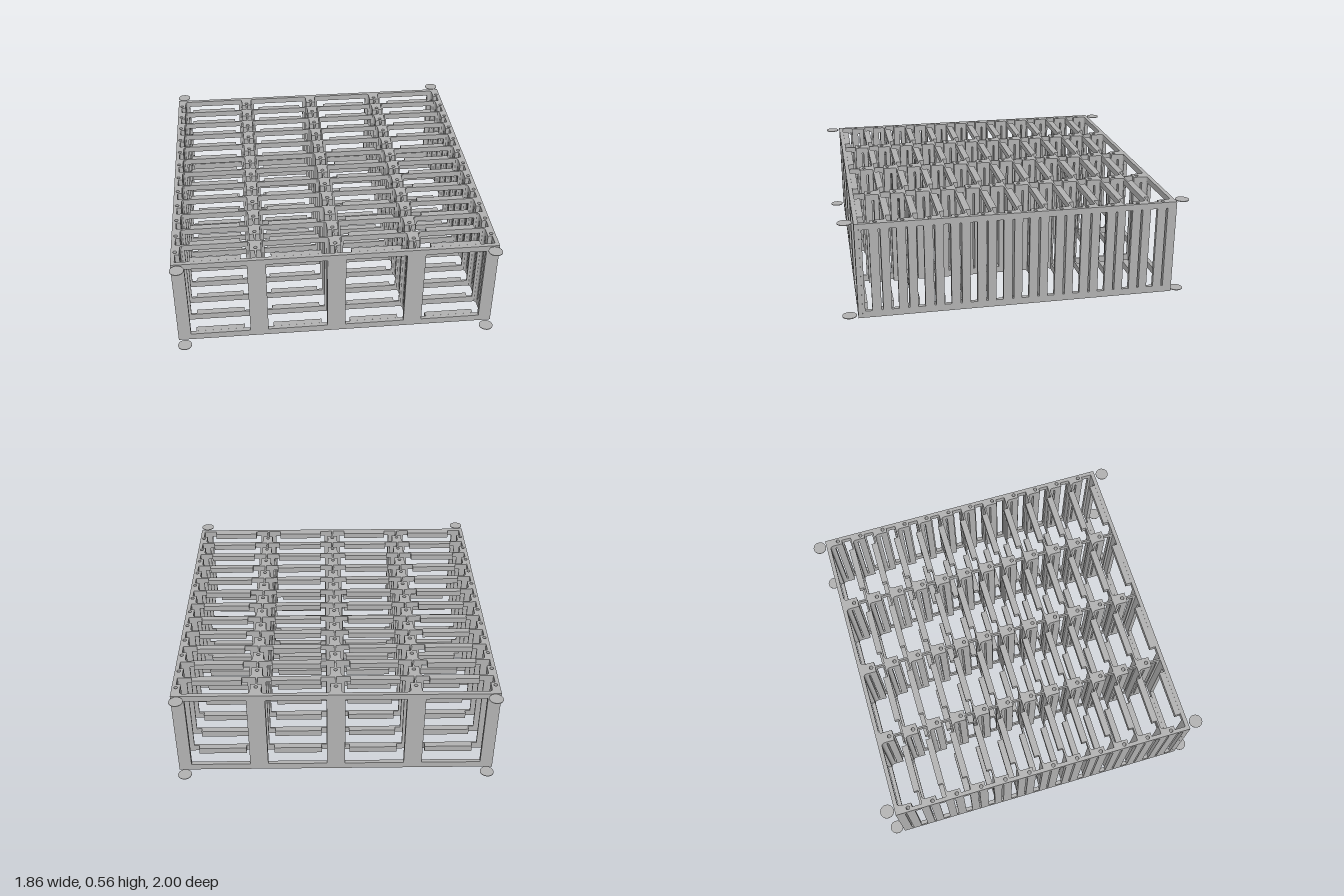
import * as THREE from 'three';

const H = 0.563, LOW = 0.04, HIGH = 0.527;   // full height, window bottom and top
const HALF = 0.925, ROWS = 12, PITCH = 0.1487, Z0 = -0.838;
const COLUMNS = [-0.902, -0.452, 0, 0.452, 0.902];
const CELLS = [-0.678, -0.226, 0.226, 0.678];
const BANDS = [[0, LOW], [HIGH, H]];         // bottom and top rail levels

export function createModel() {
  const model = new THREE.Group();
  const grey = new THREE.MeshStandardMaterial({ color: 0xb3b3b3 });
  grey.name = 'light grey';

  const add = (parent, name, geometry, x = 0, y = 0, z = 0) => {
    const mesh = new THREE.Mesh(geometry, grey);
    mesh.name = name;
    mesh.position.set(x, y, z);
    parent.add(mesh);
  };
  const box = (parent, name, x0, x1, y0, y1, z0, z1) =>
    add(parent, name, new THREE.BoxGeometry(x1 - x0, y1 - y0, z1 - z0),
      (x0 + x1) / 2, (y0 + y1) / 2, (z0 + z1) / 2);

  // Upright wall with four windows
  const wallGeometry = (depth) => {
    const s = new THREE.Shape();
    s.moveTo(-HALF, 0).lineTo(HALF, 0).lineTo(HALF, H).lineTo(-HALF, H).closePath();
    for (const c of CELLS) {
      const w = new THREE.Path();
      w.moveTo(c - 0.173, LOW).lineTo(c - 0.173, HIGH).lineTo(c + 0.173, HIGH).lineTo(c + 0.173, LOW).closePath();
      s.holes.push(w);
    }
    return new THREE.ExtrudeGeometry(s, { depth, bevelEnabled: false });
  };

  // Plan shape (x, z) raised from y0 to y1
  const raise = (shape, y0, y1) => {
    const g = new THREE.ExtrudeGeometry(shape, { depth: y1 - y0, bevelEnabled: false, curveSegments: 6 });
    return g.rotateX(Math.PI / 2).translate(0, y1, 0);
  };
  // Post outline from z0 to z1; flares widen it in a fillet where it meets the wall
  const postShape = (c, z0, z1, flared, bored) => {
    const s = new THREE.Shape();
    const fl = flared ? c.fl : 0, fr = flared ? c.fr : 0, zf = z0 + 0.022;
    s.moveTo(c.l, z1);
    s.lineTo(c.l, zf);
    if (fl) s.quadraticCurveTo(c.l, z0, c.l - fl, z0); else s.lineTo(c.l, z0);
    s.lineTo(c.r + fr, z0);
    if (fr) s.quadraticCurveTo(c.r, z0, c.r, zf); else s.lineTo(c.r, zf);
    s.lineTo(c.r, z1);
    s.closePath();
    if (bored) s.holes.push(new THREE.Path().absarc(0, 0, 0.011, 0, Math.PI * 2, false));
    return s;
  };

  // Outer walls and row dividers
  const outer = wallGeometry(0.024), divider = wallGeometry(0.011);
  add(model, 'backWall', outer, 0, 0, -0.917);
  add(model, 'frontWall', outer, 0, 0, 0.888);
  for (let k = 1; k < ROWS; k++) add(model, 'rowDivider', divider, 0, 0, Z0 + k * PITCH - 0.065);

  // Bored posts, with a slit between post and wall at window height
  COLUMNS.forEach((x, i) => {
    const left = i === 0, right = i === 4;
    const c = {
      l: left ? -0.023 : right ? -0.025 : -0.032,
      r: right ? 0.023 : left ? 0.025 : 0.032,
      fl: left ? 0 : 0.022, fr: right ? 0 : 0.022,
    };
    const full = postShape(c, -0.056, 0.025, true, true);
    const parts = [
      ['postFoot', raise(full, 0, LOW)],
      ['postHead', raise(full, HIGH, H)],
      ['postShaft', raise(postShape(c, -0.016, 0.025, false, true), LOW, HIGH)],
      ['postRoot', raise(postShape(c, -0.056, -0.026, true, false), LOW, HIGH)],
    ];
    // Side walls are thick, inner partitions thin
    const p0 = left ? -HALF : right ? 0.902 : x - 0.005;
    const p1 = right ? HALF : left ? -0.902 : x + 0.005;
    const column = new THREE.Group();
    column.name = left || right ? 'sideWall' : 'partition';
    for (let k = 0; k < ROWS; k++) {
      const z = Z0 + k * PITCH;
      for (const [name, g] of parts) add(column, name, g, x, 0, z);
      for (const [y0, y1] of BANDS) box(column, 'partitionRail', p0, p1, y0, y1, z + 0.025, z + 0.09);
      box(column, 'partitionStrip', p0, p1, LOW, HIGH, z + 0.024, z + 0.035);
      box(column, 'partitionStrip', p0, p1, LOW, HIGH, z + 0.075, z + 0.09);
    }
    model.add(column);
  });

  // Ledges at the front of every cell, top and bottom
  const ledges = new THREE.Group();
  ledges.name = 'ledges';
  for (let k = 0; k < ROWS; k++) {
    const z = Z0 + k * PITCH;
    for (const c of CELLS)
      for (const [y0, y1] of BANDS) box(ledges, 'ledge', c - 0.142, c + 0.142, y0, y1, z + 0.056, z + 0.09);
  }
  model.add(ledges);

  // Thin corner discs, top and bottom
  const disc = new THREE.CylinderGeometry(0.04, 0.04, 0.004, 32);
  for (const x of [-0.888, 0.888])
    for (const z of [-0.96, 0.96])
      for (const y of [0.002, H - 0.002]) add(model, 'cornerDisc', disc, x, y, z);

  return model;
}
